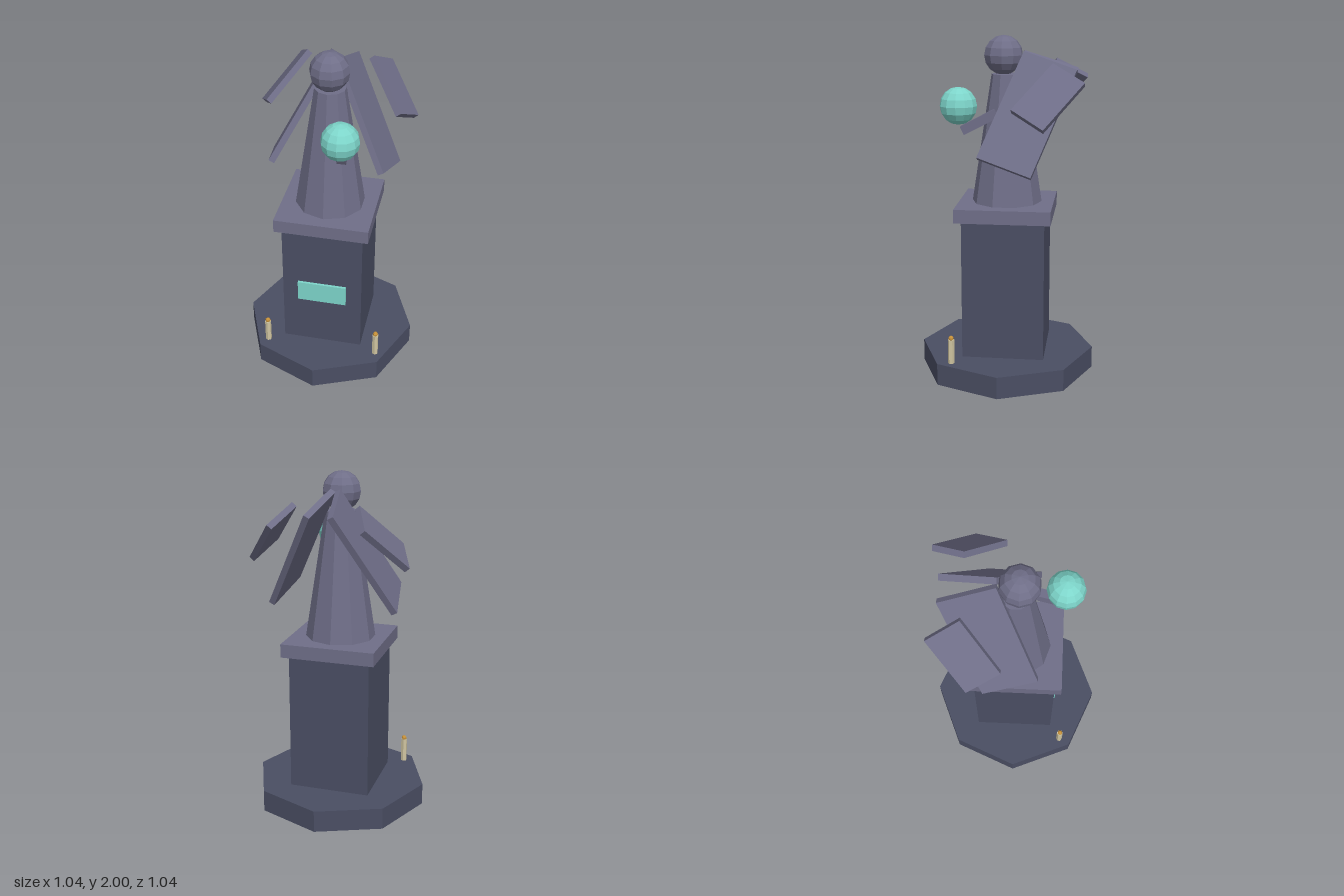
import * as THREE from 'three';

const mat = (name, color) => {
  const m = new THREE.MeshStandardMaterial({ color, flatShading: true });
  m.name = name;
  return m;
};

export function createModel() {
  const model = new THREE.Group();
  model.name = 'wingedStatue';

  const darkStone = mat('dark stone', 0x4a4e63);
  const paleStone = mat('pale stone', 0x6f6e88);
  const teal = mat('teal glow', 0x7dd5ca);
  const wax = mat('candle wax', 0xcfc4a0);
  const gold = mat('gold flame', 0xc8923a);

  const add = (name, geometry, material, x, y, z) => {
    const mesh = new THREE.Mesh(geometry, material);
    mesh.name = name;
    mesh.position.set(x, y, z);
    model.add(mesh);
    return mesh;
  };

  // Octagonal base, square pedestal and its cap
  add('base', new THREE.CylinderGeometry(0.52, 0.52, 0.13, 8), darkStone, 0, 0.065, 0);
  add('pedestal', new THREE.BoxGeometry(0.48, 0.826, 0.48), darkStone, 0, 0.543, 0);
  add('pedestalCap', new THREE.BoxGeometry(0.555, 0.08, 0.555), paleStone, 0, 0.995, 0);
  add('plaque', new THREE.BoxGeometry(0.293, 0.13, 0.016), teal, 0, 0.515, 0.247);

  // Robed figure: tapered body and round head
  add('robe', new THREE.CylinderGeometry(0.09, 0.205, 0.745, 10), paleStone, 0, 1.4075, 0);
  add('head', new THREE.SphereGeometry(0.113, 10, 8), paleStone, 0, 1.887, 0.02);

  // Arm reaching forward below the orb
  const arm = add('arm', new THREE.BoxGeometry(0.053, 0.053, 0.22), paleStone, 0.111, 1.516, 0.147);
  arm.rotation.x = 0.48;
  add('orb', new THREE.SphereGeometry(0.108, 12, 8), teal, 0.111, 1.606, 0.267);

  // Wings: a large and a small slab each side, swept back (x) then leaned out (z)
  for (const [side, label] of [[1, 'left'], [-1, 'right']]) {
    const inner = add(label + 'InnerWing', new THREE.BoxGeometry(0.036, 0.68, 0.325),
      paleStone, side * 0.19, 1.573, -0.135);
    inner.rotation.set(-0.35, 0, side * 0.49, 'ZYX');
    const outer = add(label + 'OuterWing', new THREE.BoxGeometry(0.035, 0.37, 0.22),
      paleStone, side * 0.315, 1.682, -0.259);
    outer.rotation.set(-0.61, 0, side * 0.69, 'ZYX');
  }

  // Two candles on the front of the base
  for (const [label, x, z] of [['left', 0.342, 0.288], ['right', -0.33, 0.302]]) {
    add(label + 'Candle', new THREE.CylinderGeometry(0.019, 0.019, 0.145, 6), wax, x, 0.2025, z);
    add(label + 'Flame', new THREE.SphereGeometry(0.016, 6, 5), gold, x, 0.283, z);
  }

  return model;
}
